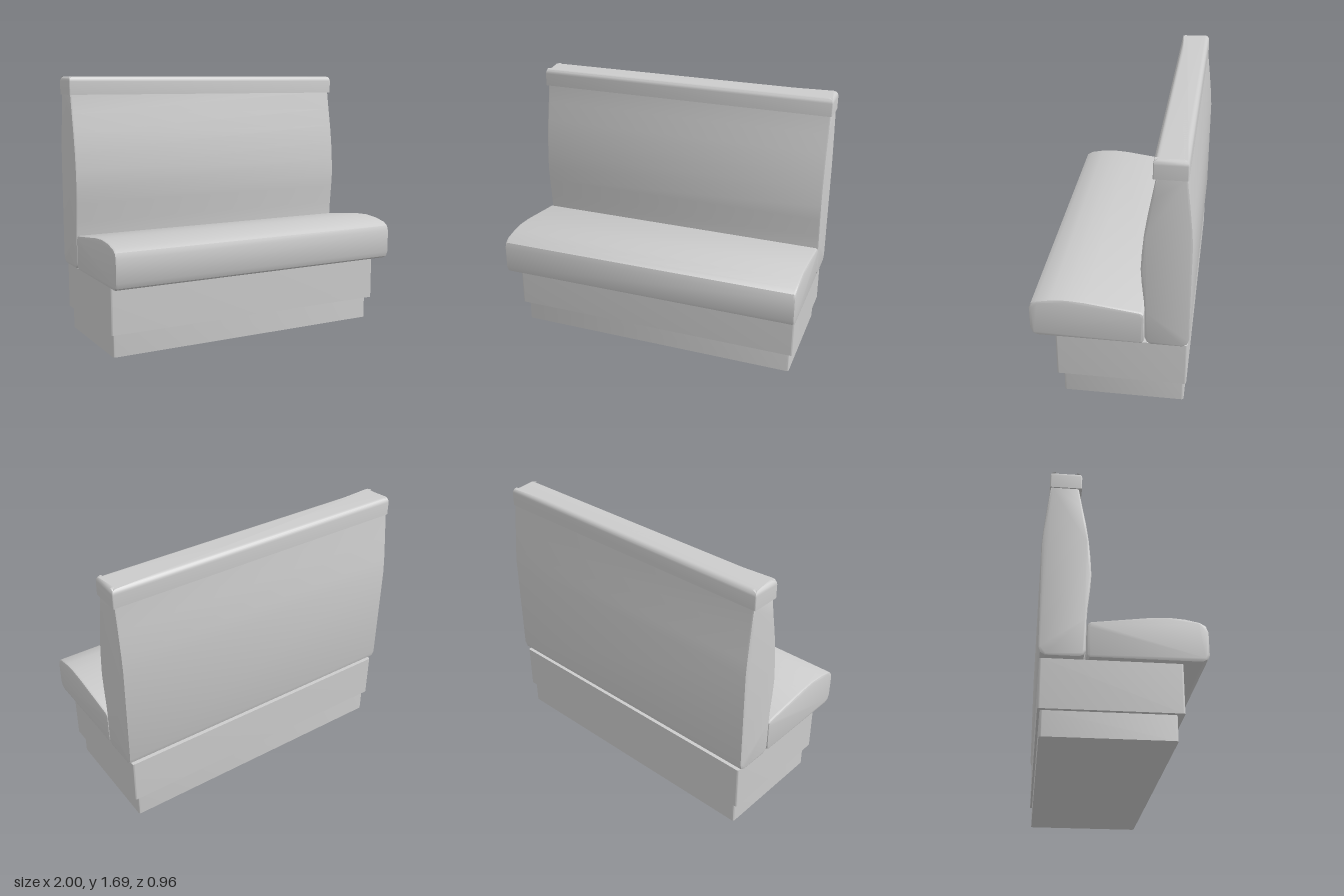
import * as THREE from 'three';
import { toCreasedNormals } from 'three/addons/utils/BufferGeometryUtils.js';

const material = new THREE.MeshStandardMaterial({ color: 0xcccccc });

function makeMesh(name, geometry) {
  const mesh = new THREE.Mesh(toCreasedNormals(geometry, 0.6), material);
  mesh.name = name;
  return mesh;
}

// Cushion: a side profile of [z, y] points swept across the width, with soft end edges
function cushion(name, profile, halfWidth, bevel) {
  const shape = new THREE.Shape(profile.map(([z, y]) => new THREE.Vector2(z, y)));
  const depth = 2 * (halfWidth - bevel);
  const geometry = new THREE.ExtrudeGeometry(shape, {
    depth, bevelThickness: bevel, bevelSize: bevel, bevelOffset: -bevel, bevelSegments: 2,
  });
  geometry.translate(0, 0, -depth / 2);
  geometry.rotateY(-Math.PI / 2);
  return makeMesh(name, geometry);
}

// Upright block with rounded vertical corners and an optionally rounded top
function block(name, halfWidth, zBack, zFront, yBottom, yTop, radius, topRound = 0) {
  const shape = new THREE.Shape();
  const corners = [[1, -zFront, -90], [1, -zBack, 0], [-1, -zBack, 90], [-1, -zFront, 180]];
  corners.forEach(([side, y, start], i) => {
    const inward = i === 1 || i === 2 ? -radius : radius;
    const a = THREE.MathUtils.degToRad(start);
    shape.absarc(side * (halfWidth - radius), y + inward, radius, a, a + Math.PI / 2, false);
  });
  const geometry = new THREE.ExtrudeGeometry(shape, {
    depth: yTop - yBottom - topRound, curveSegments: 3, bevelEnabled: topRound > 0,
    bevelThickness: topRound, bevelSize: topRound, bevelOffset: -topRound, bevelSegments: 5,
  });
  geometry.rotateX(-Math.PI / 2);
  geometry.translate(0, yBottom, 0);
  // Flatten the lower bevel so only the top edge is rounded
  const p = geometry.attributes.position;
  for (let i = 0; i < p.count; i++) p.setY(i, Math.max(p.getY(i), yBottom));
  return makeMesh(name, geometry);
}

export function createModel() {
  const group = new THREE.Group();
  group.name = 'boothBench';

  // Stepped base
  group.add(block('plinth', 0.945, -0.452, 0.297, 0, 0.15, 0.014));
  group.add(block('base', 0.97, -0.465, 0.335, 0.15, 0.446, 0.012));

  // Seat with a rounded front and a crowned top sloping to the back
  group.add(cushion('seat', [
    [-0.193, 0.452], [0.44, 0.452], [0.468, 0.467], [0.483, 0.5], [0.483, 0.645],
    [0.47, 0.68], [0.435, 0.703], [0.35, 0.72], [0.255, 0.727], [0.15, 0.72],
    [-0.185, 0.675], [-0.202, 0.662], [-0.206, 0.64], [-0.206, 0.47],
  ], 0.993, 0.015));

  // Backrest bulging at lumbar height and tapering to the top
  group.add(cushion('backrest', [
    [-0.243, 0.453], [-0.435, 0.453], [-0.463, 0.47], [-0.475, 0.505], [-0.476, 1.16],
    [-0.469, 1.26], [-0.452, 1.42], [-0.433, 1.58], [-0.264, 1.58], [-0.241, 1.45],
    [-0.218, 1.33], [-0.2, 1.21], [-0.189, 1.09], [-0.183, 0.98], [-0.19, 0.88],
    [-0.203, 0.76], [-0.208, 0.68], [-0.21, 0.495], [-0.22, 0.468],
  ], 0.993, 0.013));

  // Cap rail along the top
  group.add(block('topRail', 1, -0.437, -0.245, 1.57, 1.686, 0.006, 0.032));

  return group;
}
